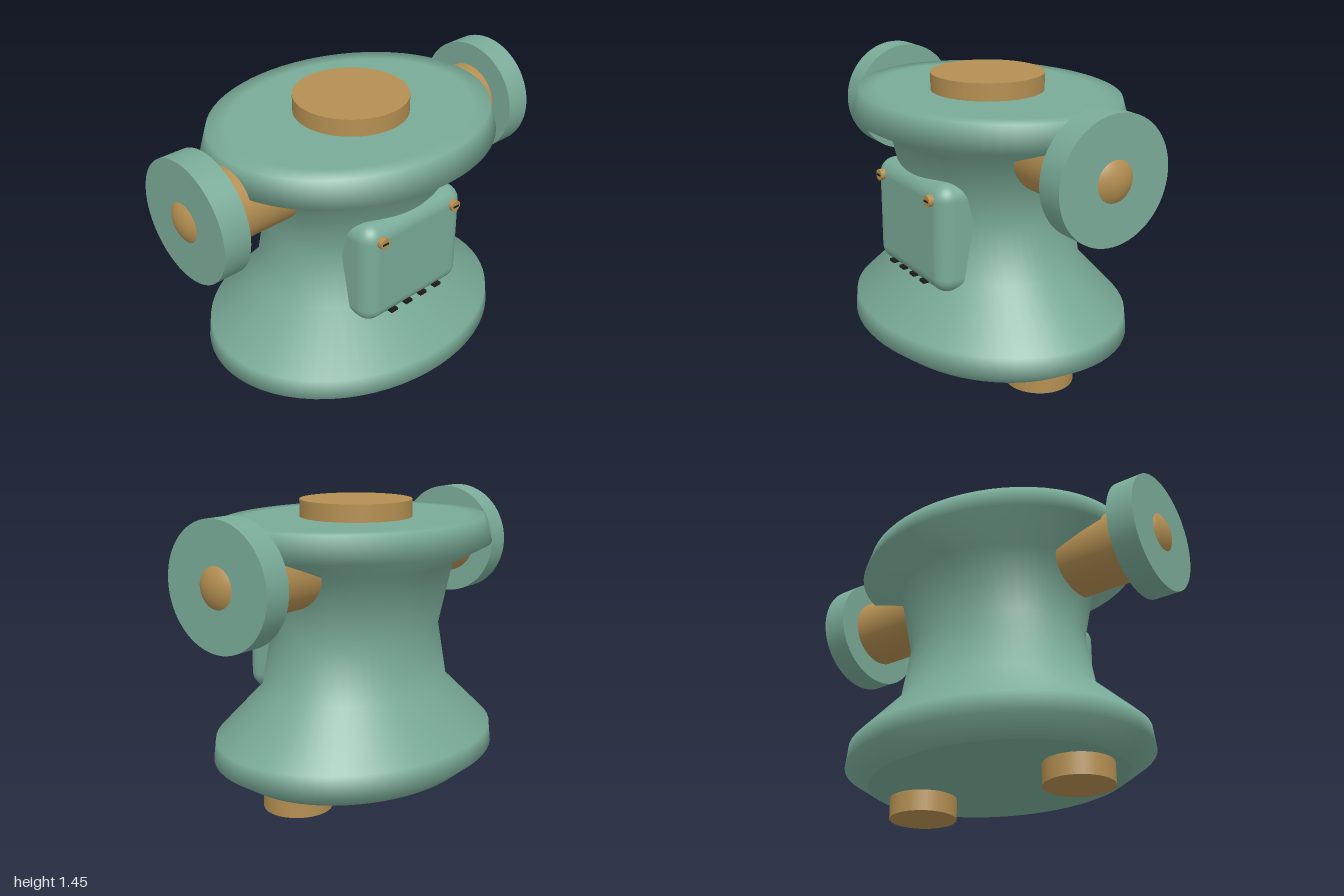
import * as THREE from 'three';
import { mergeVertices } from 'three/addons/utils/BufferGeometryUtils.js';
import { RoundedBoxGeometry } from 'three/addons/geometries/RoundedBoxGeometry.js';

const material = (color) => new THREE.MeshStandardMaterial({ color });

// Oval turned body: each ring is [y, x radius, z radius]
function ovalBody(rings, segments) {
  const points = rings.map(([y, rx]) => new THREE.Vector2(rx, y));
  let geometry = new THREE.LatheGeometry(points, segments);
  const pos = geometry.attributes.position;
  for (let i = 0; i < pos.count; i++) {
    const [, rx, rz] = rings[i % rings.length];
    if (rx > 0) pos.setZ(i, pos.getZ(i) * rz / rx);
  }
  geometry.deleteAttribute('uv');
  geometry.deleteAttribute('normal');
  geometry = mergeVertices(geometry);
  geometry.computeVertexNormals();
  return geometry;
}

export function createModel() {
  const model = new THREE.Group();
  model.name = 'hydrant';
  const green = material(0x7aab98);
  const bronze = material(0xb48f52);
  const dark = material(0x1c1c1a);

  const add = (parent, name, geometry, mat, x = 0, y = 0, z = 0) => {
    const mesh = new THREE.Mesh(geometry, mat);
    mesh.name = name;
    mesh.position.set(x, y, z);
    parent.add(mesh);
    return mesh;
  };

  // Flared body with waist and rim
  add(model, 'body', ovalBody([
    [0.105, 0.67, 0.55],
    [0.19, 0.8, 0.653],
    [0.29, 0.785, 0.645],
    [0.53, 0.525, 0.43],
    [0.82, 0.472, 0.387],
    [1.145, 0.525, 0.463],
    [1.24, 0.755, 0.637],
    [1.365, 0.725, 0.595],
    [1.365, 0.63, 0.51],
    [1.365, 0, 0],
  ], 64), green);
  const underside = add(model, 'underside', new THREE.CircleGeometry(1, 64), green, 0, 0.105, 0);
  underside.rotation.x = Math.PI / 2;
  underside.scale.set(0.67, 0.55, 1);

  // Top cap
  add(model, 'topCap', new THREE.CylinderGeometry(0.277, 0.277, 0.12, 64), bronze, 0, 1.39, 0);

  for (const side of [1, -1]) {
    // Feet
    add(model, side > 0 ? 'leftFoot' : 'rightFoot',
      new THREE.CylinderGeometry(0.169, 0.169, 0.13, 48), bronze, side * 0.461, 0.065, 0);

    // Side arm: pipe, flange and domed end
    const arm = new THREE.Group();
    arm.name = side > 0 ? 'leftArm' : 'rightArm';
    arm.position.y = 1.155;
    arm.rotation.z = -side * Math.PI / 2;
    model.add(arm);
    add(arm, 'pipe', new THREE.CylinderGeometry(0.178, 0.178, 0.5, 48), bronze, 0, 0.6, 0);
    add(arm, 'flange', new THREE.CylinderGeometry(0.293, 0.293, 0.135, 64), green, 0, 0.9025, 0);
    add(arm, 'dome', new THREE.SphereGeometry(0.165, 48, 32), bronze, 0, 0.835, 0);
  }

  // Front access panel, sunk into the waist
  const panel = new THREE.Group();
  panel.name = 'frontPanel';
  model.add(panel);
  add(panel, 'cover', new RoundedBoxGeometry(0.64, 0.54, 0.4, 8, 0.08), green, 0, 0.75, 0.265);

  // Slotted screws
  for (const x of [-0.235, 0.235]) {
    const screw = add(panel, 'screw', new THREE.CylinderGeometry(0.028, 0.028, 0.03, 24), bronze, x, 0.945, 0.472);
    screw.rotation.x = Math.PI / 2;
    add(panel, 'screwSlot', new THREE.BoxGeometry(0.034, 0.008, 0.008), dark, x, 0.945, 0.487);
  }

  // Vent slots along the lower edge
  for (let i = 0; i < 4; i++) {
    add(panel, 'vent', new THREE.BoxGeometry(0.042, 0.013, 0.03), dark, -0.15 + i * 0.1, 0.513, 0.46);
  }
  return model;
}
